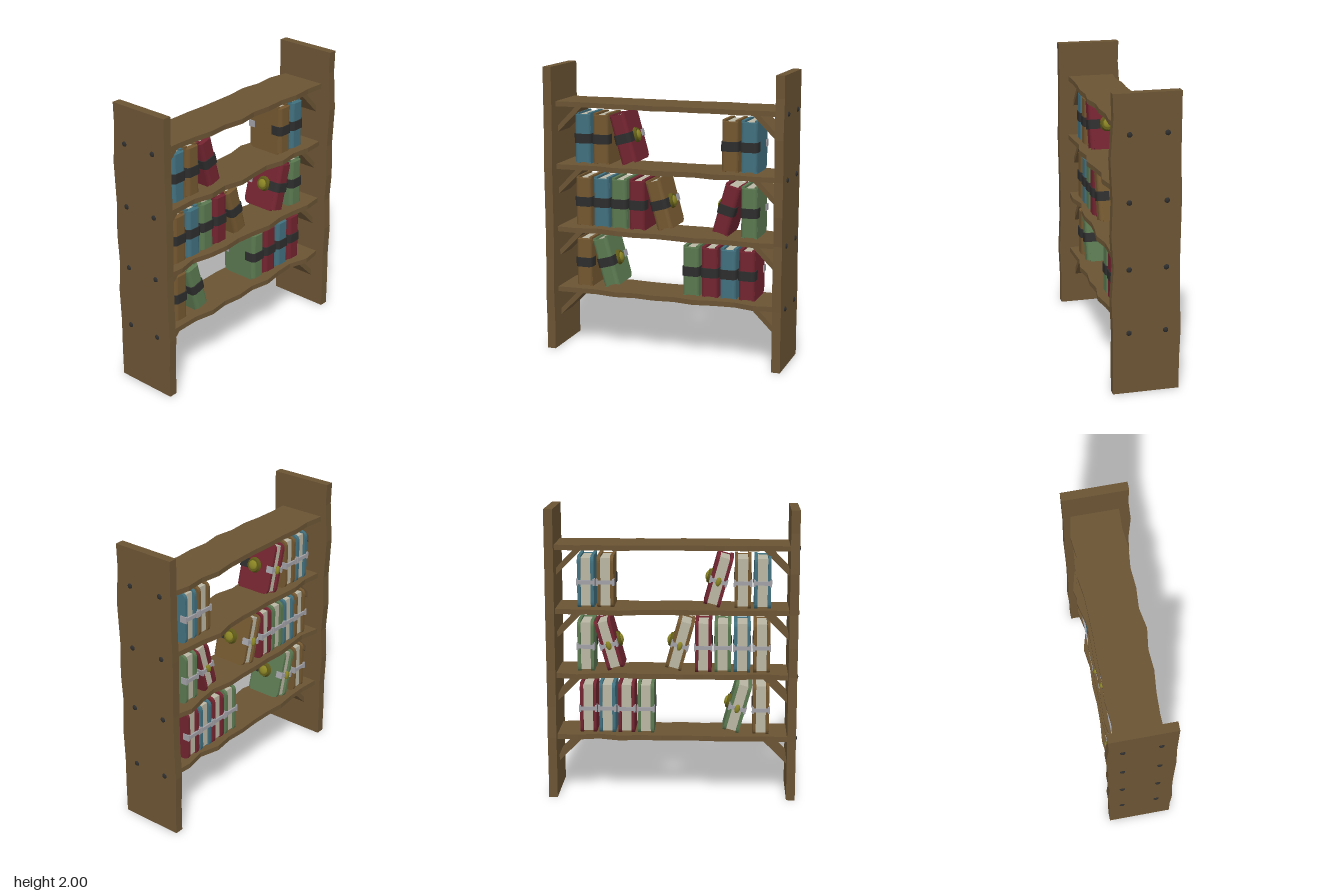
import * as THREE from 'three';

const mat = (color) => new THREE.MeshStandardMaterial({ color });
const WOOD = mat(0x6b5434), DARK = mat(0x2d2d2d), STEEL = mat(0xa0a0a6);
const PAGE = mat(0xbab6a4), GOLD = mat(0x8a8424), GOLD_DARK = mat(0x5f5a18);
const COVER = { blue: mat(0x41707e), brown: mat(0x735730), red: mat(0x722430), green: mat(0x5a7850) };

function add(parent, name, geometry, material, x = 0, y = 0, z = 0) {
  const mesh = new THREE.Mesh(geometry, material);
  mesh.name = name;
  mesh.position.set(x, y, z);
  parent.add(mesh);
  return mesh;
}

// Centred slab of a shape
const slab = (shape, depth) =>
  new THREE.ExtrudeGeometry(shape, { depth, bevelEnabled: false, curveSegments: 6 }).translate(0, 0, -depth / 2);
// Shape drawn in (z, y), thick along x
const slabX = (shape, depth) => slab(shape, depth).rotateY(-Math.PI / 2);
// Shape drawn in (x, z), thick along y
const slabY = (shape, depth) => slab(shape, depth).rotateX(Math.PI / 2);
const polygon = (points) => new THREE.Shape(points.map(([a, b]) => new THREE.Vector2(a, b)));

// Board with rough-hewn front and back edges; edges run evenly from -0.79 to 0.79
function shelfGeometry(back, front) {
  const at = (list) => list.map((z, i) => [-0.79 + (1.58 * i) / (list.length - 1), z]);
  return slabY(polygon([...at(back), ...at(front).reverse()]), 0.035);
}

// Rounded spine outline, w wide, from z0 to the crown at z1
function spineShape(w, z0, z1) {
  const h = w / 2, s = new THREE.Shape();
  s.moveTo(-h, z0);
  s.lineTo(h, z0);
  s.lineTo(h, z1 - 0.03);
  s.quadraticCurveTo(h, z1 - 0.006, h * 0.6, z1);
  s.lineTo(-h * 0.6, z1);
  s.quadraticCurveTo(-h, z1 - 0.006, -h, z1 - 0.03);
  return s;
}

// Cover outline in (z, y) with rounded corners on the opening side
function coverShape() {
  const f = 0.09, b = -0.155, h = 0.177, r = 0.045, s = new THREE.Shape();
  s.moveTo(f, -h);
  s.lineTo(f, h);
  s.lineTo(b + r, h);
  s.quadraticCurveTo(b, h, b, h - r);
  s.lineTo(b, -h + r);
  s.quadraticCurveTo(b, -h, b + r, -h);
  return s;
}

const geo = {
  cover: slabX(coverShape(), 0.022),
  spine: slabY(spineShape(0.112, 0.075, 0.115), 0.33),
  strap: slabY(spineShape(0.122, 0.04, 0.122), 0.066),
  pages: new THREE.BoxGeometry(0.072, 0.325, 0.21),
  claspBar: new THREE.BoxGeometry(0.124, 0.026, 0.012),
  claspEnd: new THREE.BoxGeometry(0.014, 0.046, 0.05),
  disc: new THREE.CylinderGeometry(0.045, 0.055, 0.022, 16).rotateZ(-Math.PI / 2),
  boss: new THREE.SphereGeometry(0.034, 14, 10).scale(0.5, 1, 1),
  buckle: new THREE.SphereGeometry(0.026, 12, 8).scale(0.7, 1.2, 0.6),
};

// medal: 0 for none, +1 / -1 for the side carrying the medallion
function book(color, x, y, tilt = 0, medal = 0) {
  const g = new THREE.Group();
  g.name = color + 'Book';
  for (const s of [-1, 1]) {
    add(g, 'cover', geo.cover, COVER[color], s * 0.045);
    add(g, 'claspEnd', geo.claspEnd, STEEL, s * 0.055, 0, -0.14);
  }
  add(g, 'spine', geo.spine, COVER[color]);
  add(g, 'pages', geo.pages, PAGE, 0, 0, -0.03);
  add(g, 'strap', geo.strap, DARK);
  add(g, 'claspBar', geo.claspBar, STEEL, 0, 0, -0.158);
  if (medal) {
    const m = new THREE.Group();
    m.name = 'medallion';
    add(m, 'medallionDisc', geo.disc, GOLD_DARK);
    add(m, 'medallionBoss', geo.boss, GOLD, 0.009);
    m.position.set(medal * 0.066, 0, -0.01);
    if (medal < 0) m.rotation.y = Math.PI;
    g.add(m);
    add(g, 'buckle', geo.buckle, GOLD, 0, 0, -0.166);
  }
  g.position.set(x, y, 0);
  g.rotation.z = tilt;
  return g;
}

export function createModel() {
  const root = new THREE.Group();
  root.name = 'bookshelf';

  // Upright side boards with uneven edges
  const sideGeo = slabX(polygon([
    [0.22, 0], [0.222, 0.2], [0.22, 0.42], [0.23, 0.65], [0.216, 0.87], [0.23, 1.07],
    [0.222, 1.3], [0.236, 1.58], [0.217, 1.85], [0.222, 2],
    [-0.22, 2], [-0.218, 1.6], [-0.226, 1.3], [-0.22, 0.9], [-0.222, 0.65], [-0.232, 0.43], [-0.223, 0.2], [-0.224, 0],
  ]), 0.06);
  add(root, 'rightSide', sideGeo, WOOD, 0.82);
  add(root, 'leftSide', sideGeo, WOOD, -0.82).rotation.y = Math.PI;

  // Shelves, each with its own edge wobble
  const levels = [1.74, 1.302, 0.857, 0.422];
  const edges = [
    [[-0.18, -0.165, -0.18, -0.172, -0.176, -0.172, -0.175, -0.18, -0.2, -0.18, -0.195, -0.17],
      [0.15, 0.145, 0.15, 0.165, 0.155, 0.175, 0.15, 0.16, 0.15, 0.165, 0.15, 0.155]],
    [[-0.17, -0.16, -0.185, -0.18, -0.17, -0.176, -0.172, -0.18, -0.215, -0.19, -0.18, -0.165],
      [0.155, 0.15, 0.14, 0.17, 0.15, 0.18, 0.16, 0.145, 0.175, 0.15, 0.165, 0.15]],
    [[-0.18, -0.15, -0.165, -0.178, -0.17, -0.174, -0.17, -0.175, -0.15, -0.17, -0.205, -0.17],
      [0.15, 0.16, 0.125, 0.155, 0.165, 0.15, 0.16, 0.18, 0.155, 0.16, 0.175, 0.155]],
    [[-0.175, -0.165, -0.17, -0.185, -0.172, -0.17, -0.178, -0.17, -0.19, -0.15, -0.18, -0.17],
      [0.155, 0.15, 0.145, 0.17, 0.15, 0.165, 0.15, 0.175, 0.15, 0.14, 0.18, 0.155]],
  ];
  const boltGeo = new THREE.SphereGeometry(0.018, 12, 6, 0, Math.PI * 2, 0, Math.PI / 2)
    .scale(1, 0.6, 1).rotateZ(-Math.PI / 2);

  // Sloping brace plate in (x, y), mitred against side board and shelf
  const braceGeo = slab(polygon([[0.79, -0.2], [0.79, -0.155], [0.655, -0.016], [0.605, -0.016]]), 0.2);
  levels.forEach((y, i) => {
    add(root, 'shelf', shelfGeometry(...edges[i]), WOOD, 0, y);
    for (const s of [1, -1]) {
      const brace = add(root, 'brace', braceGeo, WOOD, 0, y, 0.015);
      if (s < 0) brace.rotation.y = Math.PI;
      for (const z of [0.115, -0.13]) {
        const bolt = add(root, 'bolt', boltGeo, DARK, s * 0.85, y, z);
        if (s < 0) bolt.rotation.y = Math.PI;
      }
    }
  });

  // Books: colour, x, and for leaning ones the lean direction
  const rows = [
    [1.502, [['blue', -0.61], ['brown', -0.477], ['red', -0.313, 1], ['brown', 0.45], ['blue', 0.583]]],
    [1.057, [['brown', -0.61], ['blue', -0.477], ['green', -0.345], ['red', -0.213], ['brown', -0.053, 1],
      ['red', 0.43, -1], ['green', 0.588]]],
    [0.622, [['brown', -0.61], ['green', -0.448, 1], ['green', 0.18], ['red', 0.313], ['blue', 0.445], ['red', 0.577]]],
  ];
  for (const [y, books] of rows) {
    for (const [color, x, lean = 0] of books) {
      root.add(book(color, x, y + Math.abs(lean) * 0.011, lean * 0.27, lean));
    }
  }
  return root;
}
